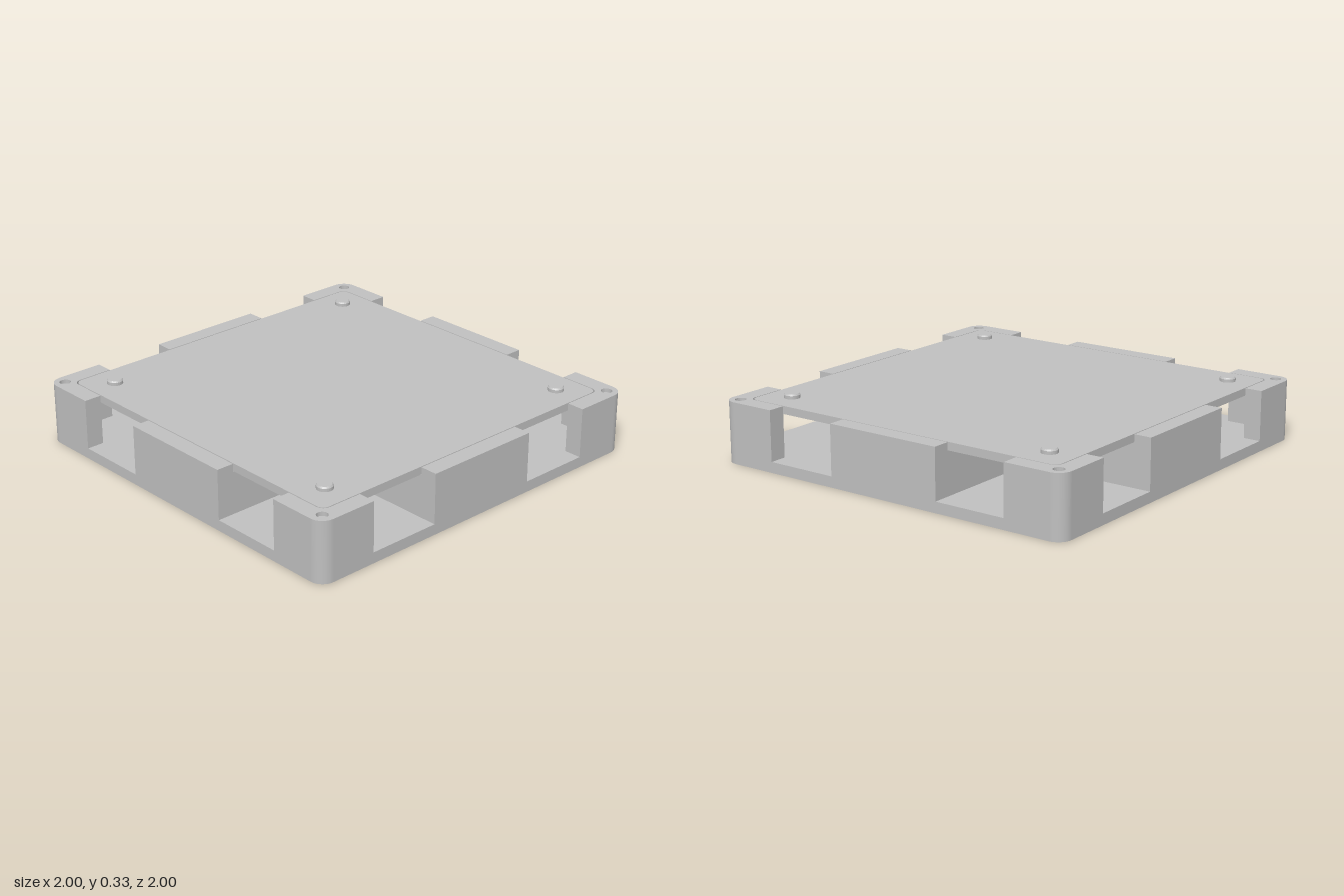
import * as THREE from 'three';

const grey = new THREE.MeshStandardMaterial({ color: 0xbfbfbf });
grey.name = 'body grey';
const pale = new THREE.MeshStandardMaterial({ color: 0xf4f4f4 });
pale.name = 'plug white';

const FLOOR = 0.055, TOP = 0.31, LID = 0.27, INNER = 0.91, IN = 0.31, OUT = 0.69, HOLE = 0.94;

// Square outline with rounded corners
function roundedSquare(h, r) {
  const s = new THREE.Shape();
  s.moveTo(-h + r, -h);
  s.lineTo(h - r, -h);
  s.absarc(h - r, -h + r, r, -Math.PI / 2, 0);
  s.absarc(h - r, h - r, r, 0, Math.PI / 2);
  s.absarc(-h + r, h - r, r, Math.PI / 2, Math.PI);
  s.absarc(-h + r, -h + r, r, Math.PI, Math.PI * 1.5);
  return s;
}

function circleHole(x, y, r) {
  const p = new THREE.Path();
  p.absarc(x, y, r, 0, Math.PI * 2, true);
  return p;
}

// Extrude a plan outline upwards from y0 to y1
function slab(shape, y0, y1) {
  const g = new THREE.ExtrudeGeometry(shape, { depth: y1 - y0, bevelEnabled: false, curveSegments: 10 });
  g.rotateX(-Math.PI / 2);
  g.translate(0, y0, 0);
  return g;
}

export function createModel() {
  const model = new THREE.Group();
  const add = (name, geometry, material = grey, x = 0, y = 0, z = 0) => {
    const m = new THREE.Mesh(geometry, material);
    m.name = name;
    m.position.set(x, y, z);
    model.add(m);
    return m;
  };

  // Screw positions on the underside: corners, edge pairs, central four
  const screws = [];
  for (const a of [-1, 1]) for (const b of [-1, 1]) {
    screws.push([a * HOLE, b * HOLE], [a * 0.105, b * HOLE], [a * HOLE, b * 0.105], [a * 0.105, b * 0.105]);
  }

  // Base plate with plugged screw holes
  const base = roundedSquare(1, 0.07);
  for (const [x, z] of screws) base.holes.push(circleHole(x, -z, 0.028));
  add('basePlate', slab(base, 0, FLOOR));
  const plug = new THREE.CylinderGeometry(0.028, 0.028, 0.04, 20);
  for (const [x, z] of screws) add('screwPlug', plug, pale, x, 0.023, z);

  // Corner wall: an L in plan with a rounded outer corner and a screw hole
  const corner = new THREE.Shape();
  corner.moveTo(OUT, INNER);
  corner.lineTo(INNER - 0.04, INNER);
  corner.absarc(INNER - 0.04, INNER - 0.04, 0.04, Math.PI / 2, 0, true);
  corner.lineTo(INNER, OUT);
  corner.lineTo(1, OUT);
  corner.lineTo(1, 0.93);
  corner.absarc(0.93, 0.93, 0.07, 0, Math.PI / 2);
  corner.lineTo(OUT, 1);
  corner.holes.push(circleHole(HOLE, HOLE, 0.028));
  const cornerGeo = slab(corner, FLOOR, TOP);
  const cornerPlug = new THREE.CylinderGeometry(0.028, 0.028, 0.23, 20);

  // Rounded boss hanging below the lid in each corner chamber
  const bossProfile = [
    [0, 0.088], [0.1, 0.088], [0.122, 0.094], [0.134, 0.108], [0.138, 0.125],
    [0.141, 0.24], [0.148, 0.258], [0.165, LID],
  ].map(([r, y]) => new THREE.Vector2(r, y));
  const bossGeo = new THREE.LatheGeometry(bossProfile, 32);

  // Locating stud with a chamfered top
  const studProfile = [[0.04, 0.3], [0.04, 0.326], [0.034, 0.333], [0, 0.333]]
    .map(([r, y]) => new THREE.Vector2(r, y));
  const studGeo = new THREE.LatheGeometry(studProfile, 24).toNonIndexed();
  studGeo.computeVertexNormals();

  const wallGeo = new THREE.BoxGeometry(2 * IN, TOP - FLOOR, 1 - INNER);
  for (let i = 0; i < 4; i++) {
    const turn = i * Math.PI / 2;
    add('cornerWall', cornerGeo).rotation.y = turn;
    const side = new THREE.Group();
    side.name = 'sideWall';
    side.rotation.y = turn;
    const wall = new THREE.Mesh(wallGeo, grey);
    wall.name = 'middleWall';
    wall.position.set(0, (TOP + FLOOR) / 2, (1 + INNER) / 2);
    side.add(wall);
    model.add(side);
    const sx = i % 2 ? 1 : -1, sz = i < 2 ? 1 : -1;
    add('cornerPlug', cornerPlug, grey, sx * HOLE, 0.175, sz * HOLE);
    add('boss', bossGeo, grey, sx * 0.525, 0, sz * 0.525);
    add('stud', studGeo, grey, sx * 0.765, 0, sz * 0.765);
  }

  // Cross-shaped core dividing the corner chambers
  const coreY = (FLOOR + LID) / 2, coreH = LID - FLOOR;
  add('coreAcross', new THREE.BoxGeometry(2 * INNER, coreH, 2 * IN), grey, 0, coreY, 0);
  for (const s of [-1, 1]) {
    add('coreArm', new THREE.BoxGeometry(2 * IN, coreH, INNER - IN), grey, 0, coreY, s * (INNER + IN) / 2);
  }

  // Lid set inside the walls with a fine gap
  add('lid', slab(roundedSquare(0.905, 0.04), LID, TOP));

  return model;
}
